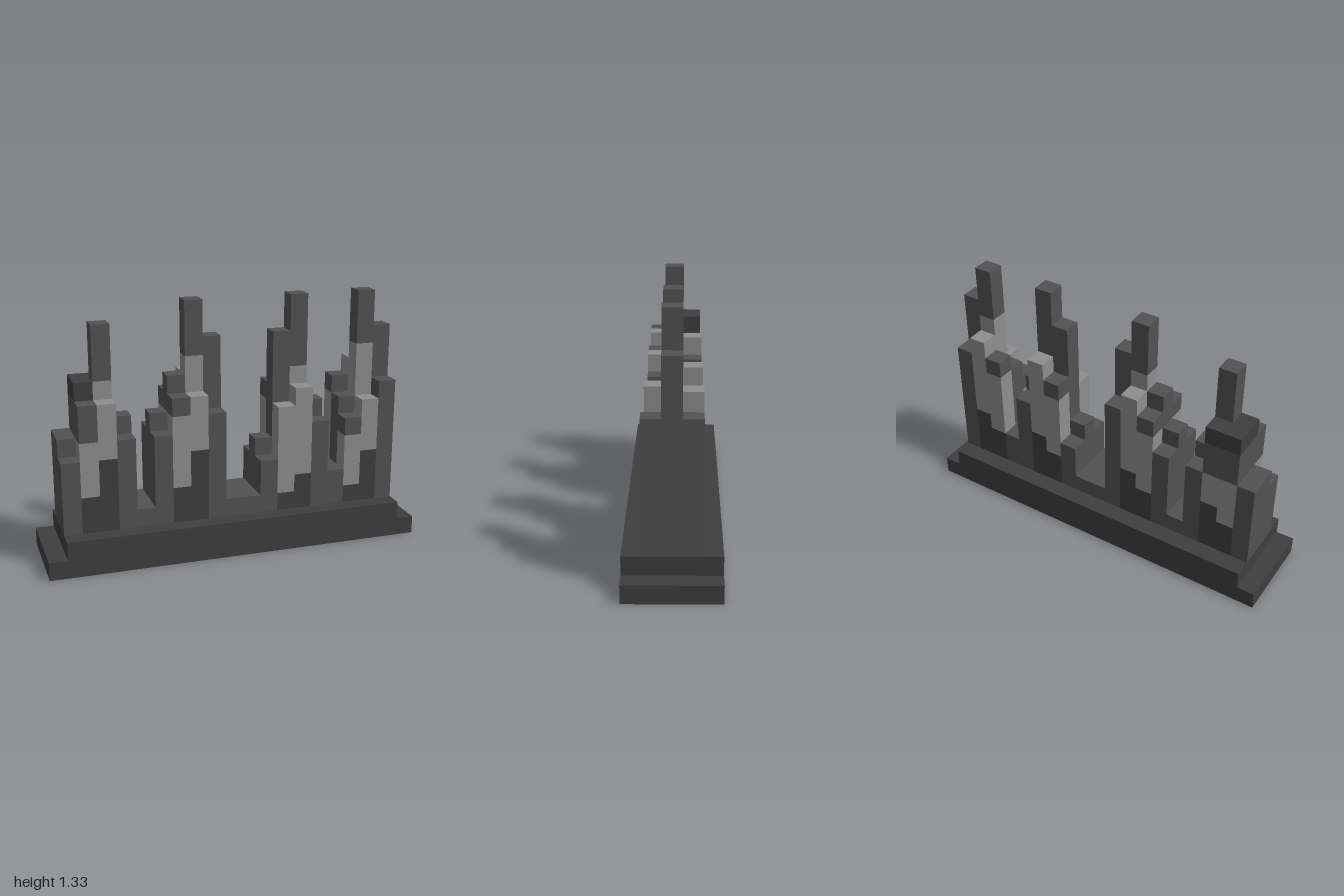
import * as THREE from 'three';

const U = 2 / 21; // one block
const paint = (hex) => new THREE.MeshStandardMaterial({ color: hex, flatShading: true });
const DARK = paint(0x3e3e3e), MEDIUM = paint(0x525252), LIGHT = paint(0x8e8e8e);

// Box given in block units: x and z by centre, y from bottom to top
function block(name, x, y0, y1, z, w, d, material) {
  const mesh = new THREE.Mesh(new THREE.BoxGeometry(w * U, (y1 - y0) * U, d * U), material);
  mesh.position.set(x * U, ((y0 + y1) / 2) * U, z * U);
  mesh.name = name;
  return mesh;
}

// Three rows of columns: top height in blocks, from -x to +x.
// bands: column -> [end of dark, end of light]; medium goes on to the top
const ROWS = [
  {
    name: 'front', z: 1,
    heights: [6, 9, 9, 7, 3, 7, 9, 9, 8, 3, 3, 5, 8, 9, 7, 4, 7, 8, 9],
    bands: { 1: [4, 7], 2: [6, 9], 6: [4, 8], 7: [6, 9], 12: [3, 8], 13: [4, 9], 16: [3, 6], 17: [5, 8] },
  },
  {
    name: 'middle', z: 0,
    heights: [7, 10, 13, 8, 3, 8, 10, 14, 12, 3, 3, 6, 12, 14, 8, 4, 8, 14, 12],
    bands: { 2: [6, 10], 7: [6, 11], 13: [4, 10], 17: [5, 11] },
  },
  {
    name: 'back', z: -1,
    heights: [7, 10, 10, 7, 3, 7, 9, 10, 9, 3, 3, 5, 9, 10, 7, 4, 9, 10, 9],
    bands: { 1: [4, 7], 2: [5, 7], 6: [4, 8], 7: [5, 10], 12: [4, 8], 13: [5, 10], 16: [4, 8], 17: [5, 10] },
  },
];
const DARK_CAPS = ['middle1', 'back1', 'back2'];

// First column of each tower or gap
const SECTIONS = [
  ['tower1', 0, 3], ['gap1', 4, 4], ['tower2', 5, 8], ['gap2', 9, 10],
  ['tower3', 11, 14], ['gap3', 15, 15], ['tower4', 16, 18],
];

export function createModel() {
  const model = new THREE.Group();
  model.name = 'blockTowers';

  // Stepped base
  model.add(block('baseSlab', 0, 0, 1, 0, 21, 5, DARK));
  model.add(block('baseStep', 0, 1, 2, 0, 19, 5, DARK));

  // Towers and the low floors between them
  for (const [name, first, last] of SECTIONS) {
    const section = new THREE.Group();
    section.name = name;
    for (const row of ROWS) {
      for (let c = first; c <= last; c++) {
        const top = row.heights[c];
        const [darkEnd, lightEnd] = row.bands[c] ?? [2, 2];
        const capStart = DARK_CAPS.includes(row.name + c) ? top - 1 : top;
        const parts = [
          ['Foot', 2, darkEnd, DARK],
          ['Panel', darkEnd, lightEnd, LIGHT],
          ['Column', lightEnd, capStart, MEDIUM],
          ['Cap', capStart, top, DARK],
        ];
        for (const [part, y0, y1, material] of parts) {
          if (y1 > y0) section.add(block(row.name + part, c - 9, y0, y1, row.z, 1, 1, material));
        }
      }
    }
    model.add(section);
  }
  return model;
}
